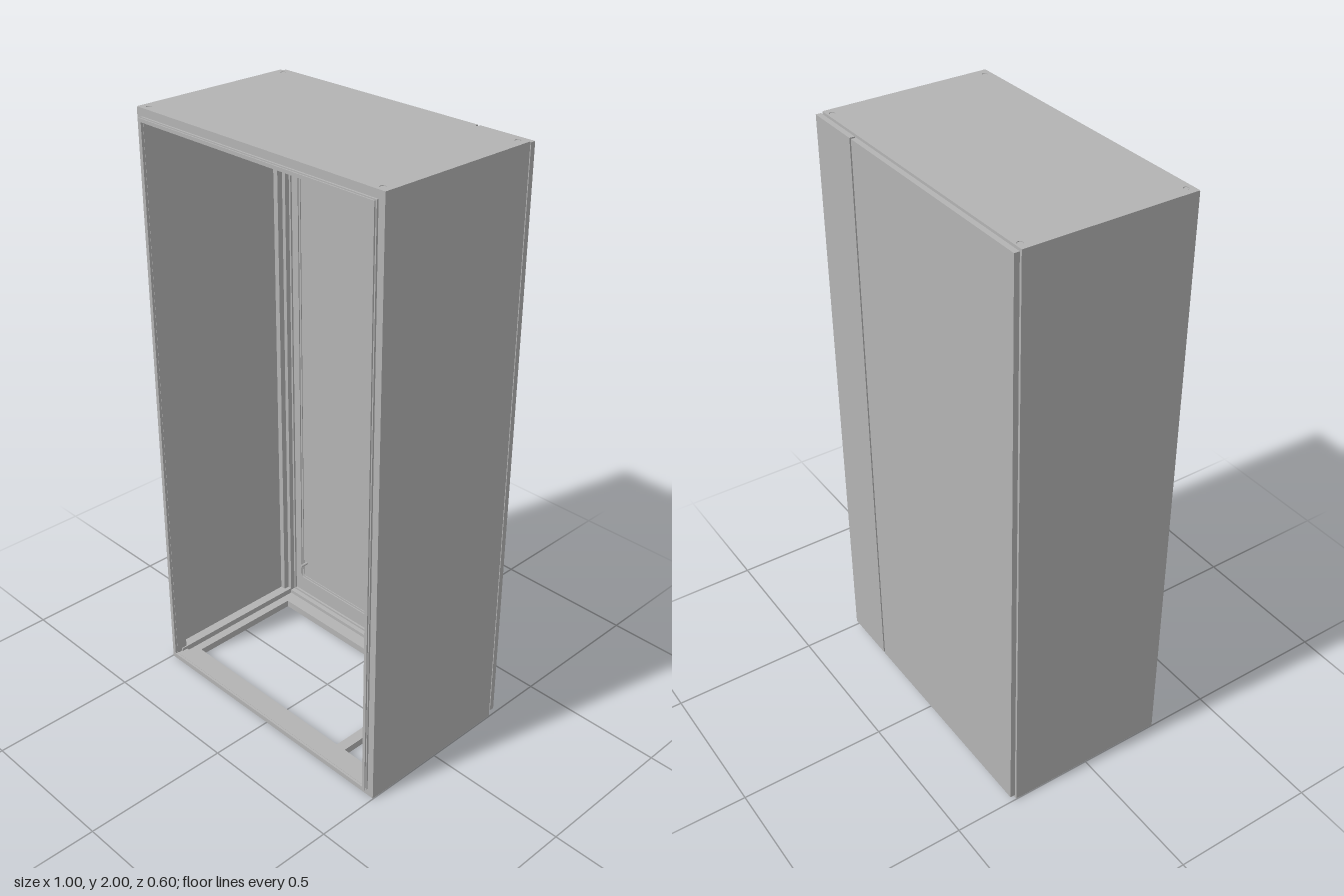
import * as THREE from 'three';

// Rectangle path with rounded corners
function rect(path, x0, y0, x1, y1, r = 0) {
  if (r === 0) {
    path.moveTo(x0, y0).lineTo(x1, y0).lineTo(x1, y1).lineTo(x0, y1);
    path.closePath();
    return path;
  }
  path.absarc(x1 - r, y0 + r, r, -Math.PI / 2, 0);
  path.absarc(x1 - r, y1 - r, r, 0, Math.PI / 2);
  path.absarc(x0 + r, y1 - r, r, Math.PI / 2, Math.PI);
  path.absarc(x0 + r, y0 + r, r, Math.PI, Math.PI * 1.5);
  path.closePath();
  return path;
}

export function createModel() {
  const cabinet = new THREE.Group();
  cabinet.name = 'cabinet';
  const paint = new THREE.MeshStandardMaterial({ color: 0xb3b3b3 });
  paint.name = 'grey paint';

  function add(name, geometry) {
    const mesh = new THREE.Mesh(geometry, paint);
    mesh.name = name;
    cabinet.add(mesh);
    return mesh;
  }
  // Box given by its limits
  function block(name, x0, x1, y0, y1, z0, z1) {
    const g = new THREE.BoxGeometry(x1 - x0, y1 - y0, z1 - z0);
    return add(name, g.translate((x0 + x1) / 2, (y0 + y1) / 2, (z0 + z1) / 2));
  }
  // Upright frame of width w between z0 and z1
  function frame(name, x0, y0, x1, y1, w, z0, z1, r = 0) {
    const shape = rect(new THREE.Shape(), x0, y0, x1, y1, r);
    shape.holes.push(rect(new THREE.Path(), x0 + w, y0 + w, x1 - w, y1 - w, r ? Math.max(r - w, 0.012) : 0));
    const g = new THREE.ExtrudeGeometry(shape, { depth: z1 - z0, bevelEnabled: false, curveSegments: 6 });
    return add(name, g.translate(0, 0, z0));
  }
  // Horizontal sheet with holes
  function sheet(name, shape, y0, y1) {
    const g = new THREE.ExtrudeGeometry(shape, { depth: y1 - y0, bevelEnabled: false, curveSegments: 10 });
    return add(name, g.rotateX(-Math.PI / 2).translate(0, y0, 0));
  }

  const front = 0.284, back = -0.278;

  // Side walls
  block('leftWall', 0.493, 0.498, 0, 1.995, back, front);
  block('rightWall', -0.498, -0.493, 0, 1.995, back, front);

  // Roof with four corner bolt holes, each closed by a sunk bolt
  const roof = rect(new THREE.Shape(), -0.498, -front, 0.498, -back, 0.004);
  for (const x of [-0.468, 0.468]) {
    for (const z of [-0.262, 0.262]) {
      const hole = new THREE.Path();
      hole.absarc(x, -z, 0.009, 0, Math.PI * 2, true);
      roof.holes.push(hole);
      add('roofBolt', new THREE.CylinderGeometry(0.0075, 0.0075, 0.012, 16).translate(x, 1.993, z));
    }
  }
  sheet('roof', roof, 1.994, 2);

  // Open floor: border with one cross rail in line with the mullion
  const floor = rect(new THREE.Shape(), -0.494, -0.28, 0.494, 0.274);
  floor.holes.push(rect(new THREE.Path(), -0.43, -0.21, 0.262, 0.21));
  floor.holes.push(rect(new THREE.Path(), 0.298, -0.21, 0.43, 0.21));
  sheet('floorFrame', floor, 0, 0.025);
  for (const s of [-1, 1]) {
    block('floorSideRail', Math.min(s * 0.46, s * 0.494), Math.max(s * 0.46, s * 0.494), 0.025, 0.045, -0.27, 0.27);
  }

  // Folded front frame: flange, raised sealing lip and inner return
  frame('frontFlange', -0.498, 0, 0.498, 1.998, 0.034, front - 0.006, front);
  frame('frontLipBase', -0.475, 0.025, 0.475, 1.975, 0.011, front, 0.29);
  frame('frontLip', -0.471, 0.029, 0.471, 1.971, 0.006, 0.29, 0.295);
  frame('frontLipEdge', -0.475, 0.026, 0.475, 1.974, 0.011, 0.295, 0.299);
  frame('frontInnerReturn', -0.494, 0.004, 0.494, 1.995, 0.03, 0.25, front - 0.006);

  // Stepped back frame
  frame('backFlange', -0.498, 0, 0.498, 1.998, 0.045, back, back + 0.006);
  frame('backLip', -0.474, 0.027, 0.474, 1.973, 0.01, -0.287, back);
  frame('backFrameStep', -0.494, 0.004, 0.494, 1.995, 0.034, back + 0.006, -0.255);
  frame('backFrameInner', -0.494, 0.004, 0.494, 1.995, 0.02, -0.255, -0.235);

  // Channel mullion behind the door split
  block('mullionWeb', 0.256, 0.3, 0.045, 1.953, -0.28, -0.274);
  for (const x of [0.256, 0.295]) block('mullionFlange', x, x + 0.005, 0.045, 1.953, -0.274, -0.255);

  // Back doors: folded pans with a raised gasket and two studs
  const doors = [
    { name: 'wideDoor', x0: -0.497, x1: 0.294, g0: -0.456, g1: 0.252, stud: -0.415 },
    { name: 'narrowDoor', x0: 0.302, x1: 0.497, g0: 0.35, g1: 0.448, stud: 0.41 },
  ];
  for (const d of doors) {
    block(d.name + 'Panel', d.x0, d.x1, 0.02, 1.996, -0.3, -0.296);
    frame(d.name + 'Rim', d.x0, 0.02, d.x1, 1.996, 0.006, -0.296, -0.283);
    frame(d.name + 'GasketBase', d.g0, 0.076, d.g1, 1.955, 0.026, -0.296, -0.293, 0.03);
    frame(d.name + 'Gasket', d.g0 + 0.007, 0.083, d.g1 - 0.007, 1.948, 0.012, -0.293, -0.289, 0.024);
    for (const y of [0.162, 1.865]) {
      const stud = new THREE.CylinderGeometry(0.005, 0.005, 0.03, 12);
      add(d.name + 'Stud', stud.rotateX(Math.PI / 2).translate(d.stud, y, -0.281));
    }
  }

  // Small hinge pins at the door split
  for (const y of [0.06, 1.94]) {
    add('hingePin', new THREE.CylinderGeometry(0.003, 0.003, 0.05, 10).translate(0.298, y, -0.291));
  }

  return cabinet;
}
